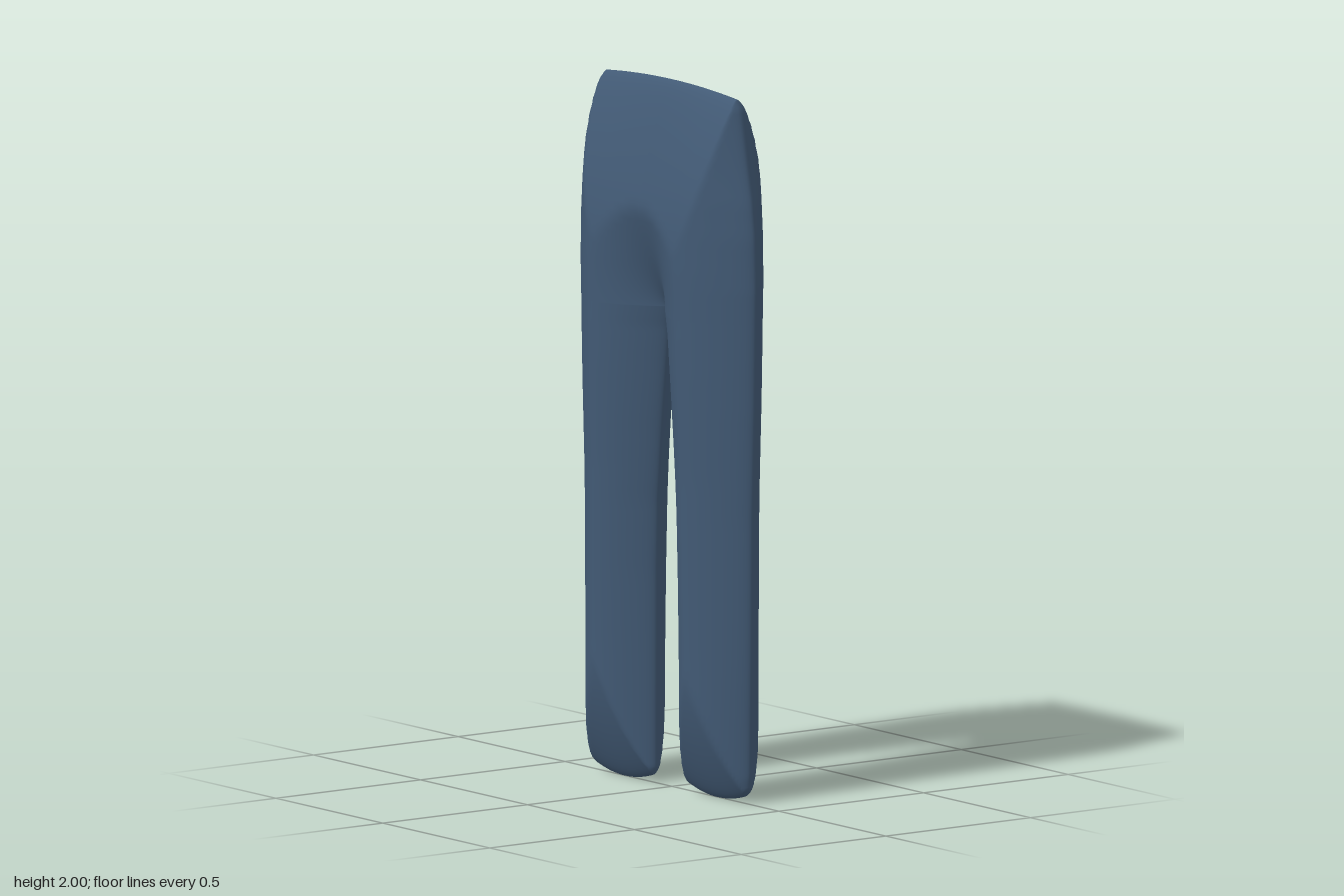
import * as THREE from 'three';
import { mergeVertices } from 'three/addons/utils/BufferGeometryUtils.js';

const CROTCH = 1.36;
const { lerp, clamp } = THREE.MathUtils;

// Piecewise-linear lookup in [y, value] pairs
function lookup(points, y) {
  for (let i = 1; i < points.length; i++) {
    const [y0, v0] = points[i - 1], [y1, v1] = points[i];
    if (y <= y1) return lerp(v0, v1, clamp((y - y0) / (y1 - y0), 0, 1));
  }
  return points[points.length - 1][1];
}

// Outline of one half: outer seam, inner leg seam, and puffed half-depth
const OUTER = [[0, 0.345], [0.015, 0.358], [0.05, 0.363], [0.4, 0.369], [0.8, 0.373], [1.1, 0.383],
  [1.45, 0.39], [1.6, 0.385], [1.7, 0.373], [1.8, 0.352], [1.9, 0.332], [1.97, 0.318], [2, 0.305]];
const INNER = [[0, 0.085], [0.02, 0.076], [0.6, 0.074], [0.8, 0.068], [1, 0.05], [1.2, 0.028], [1.3, 0.015], [CROTCH, 0]];
const DEPTH = [[0, 0.117], [0.4, 0.118], [0.9, 0.123], [1.2, 0.132], [1.5, 0.138], [2, 0.138]];

// Swelling from a seam (t = 0) to the crest (t = 1)
const swell = (t) => (Math.sin(t * Math.PI / 2) + Math.sqrt(t)) / 2;

function halfDepth(x, y, xi, xo) {
  const crest = lerp(0.22, 0.2, Math.min(1, y / CROTCH));
  const inner = y < CROTCH ? (x - xi) / (crest - xi) : Math.hypot(x / 0.2, (y - CROTCH) / 0.42);
  const outer = (xo - x) / (xo - crest);
  const waist = (2 - y) / lerp(0.52, 0.45, Math.min(1, x / 0.2));
  const hem = y / 0.36;
  return lookup(DEPTH, y) * swell(clamp(Math.min(inner, outer, waist, hem), 0, 1));
}

// Evenly eased steps, finer at both ends
const eased = (n) => Array.from({ length: n + 1 }, (_, i) => (1 - Math.cos(Math.PI * i / n)) / 2);

function trouserGeometry() {
  const us = eased(36);
  const ys = [...eased(70).map((v) => v * CROTCH), ...eased(44).slice(1).map((v) => lerp(CROTCH, 2, v))];
  const cols = us.length;
  const positions = [], indices = [];

  // Front and back sheets of both halves
  for (const sx of [1, -1]) for (const sz of [1, -1]) {
    const base = positions.length / 3;
    for (const y of ys) {
      const xi = y >= CROTCH ? 0 : lookup(INNER, y), xo = lookup(OUTER, y);
      for (const u of us) {
        const x = lerp(xi, xo, u);
        // Curved hem and waist edges
        const hemRise = (0.004 + 0.024 * ((x - 0.217) / 0.14) ** 2) * Math.max(0, 1 - y / 0.4);
        const waistDrop = 0.016 * (x / 0.31) ** 2 * Math.max(0, (y - 1.6) / 0.4);
        positions.push(sx * x, y + hemRise - waistDrop, sz * halfDepth(x, y, xi, xo));
      }
    }
    for (let r = 0; r < ys.length - 1; r++) for (let c = 0; c < cols - 1; c++) {
      const a = base + r * cols + c, b = a + 1, d = a + cols, e = d + 1;
      if (sx * sz > 0) indices.push(a, b, e, a, e, d);
      else indices.push(a, e, b, a, d, e);
    }
  }
  const g = new THREE.BufferGeometry();
  g.setAttribute('position', new THREE.Float32BufferAttribute(positions, 3));
  g.setIndex(indices);
  const welded = mergeVertices(g, 1e-5);
  welded.computeVertexNormals();
  return welded;
}

export function createModel() {
  const group = new THREE.Group();
  group.name = 'trousers';
  const denim = new THREE.MeshStandardMaterial({ color: 0x425a75 });
  denim.name = 'denim blue';
  const body = new THREE.Mesh(trouserGeometry(), denim);
  body.name = 'trouserBody';
  group.add(body);
  return group;
}
